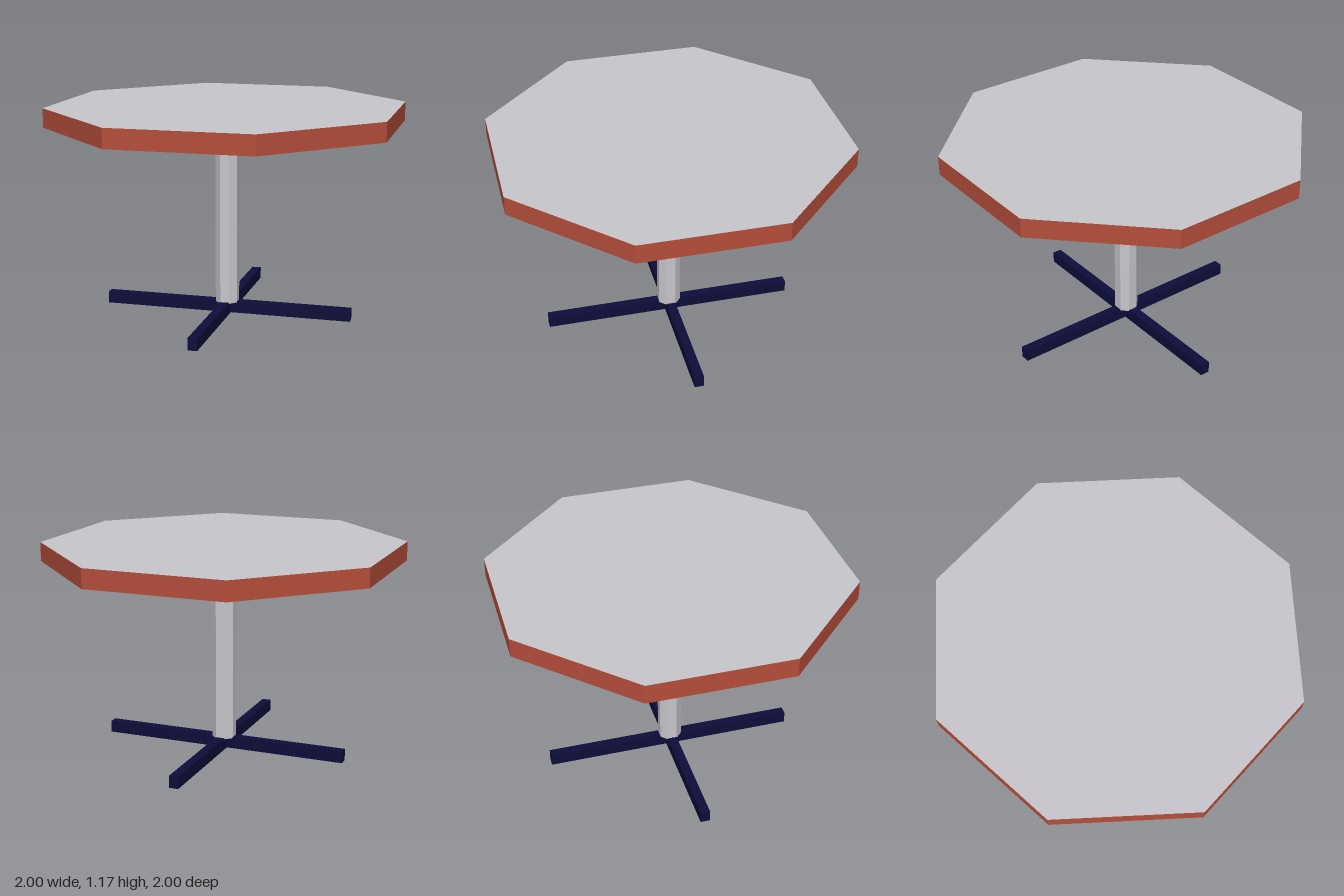
import * as THREE from 'three';

const mat = (name, color) => {
  const m = new THREE.MeshStandardMaterial({ color });
  m.name = name;
  return m;
};

export function createModel() {
  const model = new THREE.Group();
  model.name = 'table';
  const grey = mat('light grey', 0xc9c7cd);
  const red = mat('brick red', 0xb64e3b);
  const navy = mat('dark navy', 0x0d0d3a);

  const add = (name, geometry, material, y) => {
    const mesh = new THREE.Mesh(geometry, material);
    mesh.name = name;
    mesh.position.y = y;
    model.add(mesh);
    return mesh;
  };

  // Eight-sided prism with crisp facets, corners on the axes
  const octagon = (r, y0, y1) => {
    const g = new THREE.CylinderGeometry(r, r, y1 - y0, 8).toNonIndexed();
    g.computeVertexNormals();
    return g;
  };

  // Table top: red rim, grey faces above and below
  add('tableTop', octagon(1, 1.07, 1.175), [red, grey, grey], 1.1225);

  // Central column
  add('column', octagon(0.067, 0.06, 1.07), grey, 0.565);

  // Cross-shaped foot, turned an eighth of a half circle
  const arm = 0.704, half = 0.026;
  const points = [];
  for (let i = 0; i < 4; i++) {
    const a = (i * Math.PI) / 2;
    for (const [x, y] of [[arm, -half], [arm, half], [half, half]]) {
      points.push(new THREE.Vector2(
        x * Math.cos(a) - y * Math.sin(a),
        x * Math.sin(a) + y * Math.cos(a)));
    }
  }
  const cross = new THREE.ExtrudeGeometry(new THREE.Shape(points), { depth: 0.066, bevelEnabled: false });
  cross.rotateX(-Math.PI / 2);
  add('crossFoot', cross, navy, 0).rotation.y = Math.PI / 8;

  return model;
}
